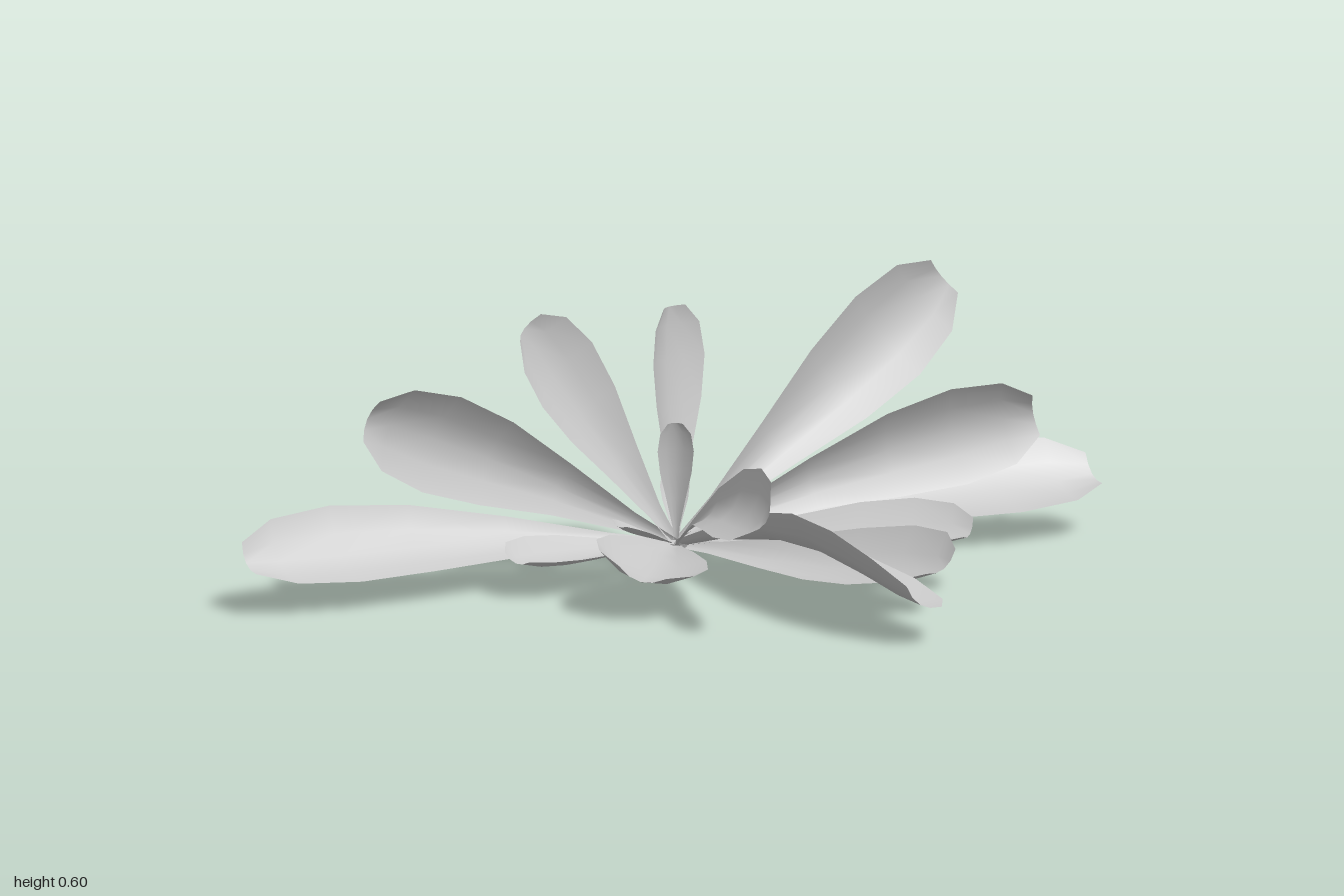
import * as THREE from 'three';

const BASE = new THREE.Vector3(0.03, 0.05, -0.472);
// position along the leaf and relative width there: widest near a blunt tip
const PROFILE = [[0, 0.1], [0.15, 0.2], [0.38, 0.53], [0.6, 0.87], [0.78, 1], [0.92, 0.85], [1, 0.42]];
// signed position across the leaf
const ACROSS = [-1, -0.5, 0, 0.5, 1];

// A gutter-shaped blade from the crown to a tip; half is the half-width vector at the widest place
function leafGeometry(tip, half, bow) {
  const end = new THREE.Vector3(...tip);
  const side = new THREE.Vector3(...half);
  const normal = new THREE.Vector3().subVectors(end, BASE).cross(side).normalize();
  if (normal.y + normal.z < 0) normal.negate();
  const cup = side.length() * 0.4;
  const positions = [], index = [], n = ACROSS.length;
  PROFILE.forEach(([t, w], i) => {
    for (const s of ACROSS) {
      const p = BASE.clone().lerp(end, t);
      p.addScaledVector(side, s * w);
      p.addScaledVector(normal, cup * w * (s * s - 0.5));
      p.y += bow * Math.sin(Math.PI * t);
      positions.push(p.x, p.y, p.z);
    }
    if (i === 0) return;
    for (let j = 0; j < n - 1; j++) {
      const a = (i - 1) * n + j, b = a + n;
      index.push(a, a + 1, b, a + 1, b + 1, b);
    }
  });
  const geo = new THREE.BufferGeometry();
  geo.setAttribute('position', new THREE.Float32BufferAttribute(positions, 3));
  geo.setIndex(index);
  geo.computeVertexNormals();
  return geo;
}

// tip, half-width vector, bow
const LEAVES = {
  // upright fan at the back
  lowRightLeaf: [[-1, 0.115, -0.45], [0, 0.068, -0.075], 0.025],
  upperRightLeaf: [[-0.74, 0.4, -0.395], [0.04, 0.1, 0.012], 0.02],
  tallRightLeaf: [[-0.335, 0.55, -0.45], [0.08, 0.055, -0.04], 0],
  tallCentreLeaf: [[0.04, 0.55, -0.51], [0.078, 0, -0.032], 0],
  tallLeftLeaf: [[0.66, 0.565, -0.465], [-0.065, 0.085, -0.022], 0],
  upperLeftLeaf: [[0.83, 0.27, -0.375], [-0.025, 0.105, 0.008], 0.03],
  lowLeftLeaf: [[0.995, 0.125, -0.425], [0, 0.063, -0.088], 0.015],
  // spreading leaves in front
  raisedFrontLeaf: [[-0.2, 0.265, 0.345], [0.058, 0.068, 0], 0.06],
  longFrontLeaf: [[0.08, 0.1, 0.53], [0.1, -0.06, 0], 0.08],
  leftFrontLeaf: [[0.275, 0.11, 0.255], [0.095, 0.05, -0.025], -0.01],
  leftDiagonalLeaf: [[0.45, 0.13, 0.045], [0.065, 0.032, -0.068], 0.015],
  leftSideLeaf: [[0.47, 0.085, -0.22], [0.03, 0.012, -0.085], 0.005],
  rightDiagonalLeaf: [[-0.32, 0.1, 0.03], [-0.098, 0.03, -0.065], 0.015],
  rightSideLeaf: [[-0.43, 0.085, -0.32], [-0.03, 0.015, -0.075], 0.005],
  // young leaves at the heart
  youngUprightLeaf: [[0, 0.32, -0.42], [0.035, 0, 0.015], 0],
  youngBackLeaf: [[0.05, 0.2, -0.52], [0.03, 0, 0.01], 0],
  youngRightLeaf: [[-0.17, 0.13, -0.35], [-0.02, 0.01, -0.03], 0],
  youngLeftLeaf: [[0.2, 0.15, -0.4], [0.01, 0.02, -0.03], 0.01],
};

export function createModel() {
  const group = new THREE.Group();
  const material = new THREE.MeshStandardMaterial({ color: 0xcccccc, side: THREE.DoubleSide });

  for (const [name, [tip, half, bow]] of Object.entries(LEAVES)) {
    const leaf = new THREE.Mesh(leafGeometry(tip, half, bow), material);
    leaf.name = name;
    group.add(leaf);
  }

  // crown of short leaf bases, spreading upwards
  const crown = new THREE.Group();
  crown.name = 'crown';
  for (let i = 0; i < 5; i++) {
    const a = (i / 5) * Math.PI * 2;
    const stub = new THREE.Mesh(new THREE.CylinderGeometry(0.012, 0.005, 0.06, 4), material);
    stub.name = 'leafBase';
    stub.position.set(BASE.x + 0.014 * Math.cos(a), 0.031, BASE.z + 0.014 * Math.sin(a));
    stub.rotation.set(0.35 * Math.sin(a), 0, -0.35 * Math.cos(a));
    crown.add(stub);
  }
  group.add(crown);
  return group;
}
